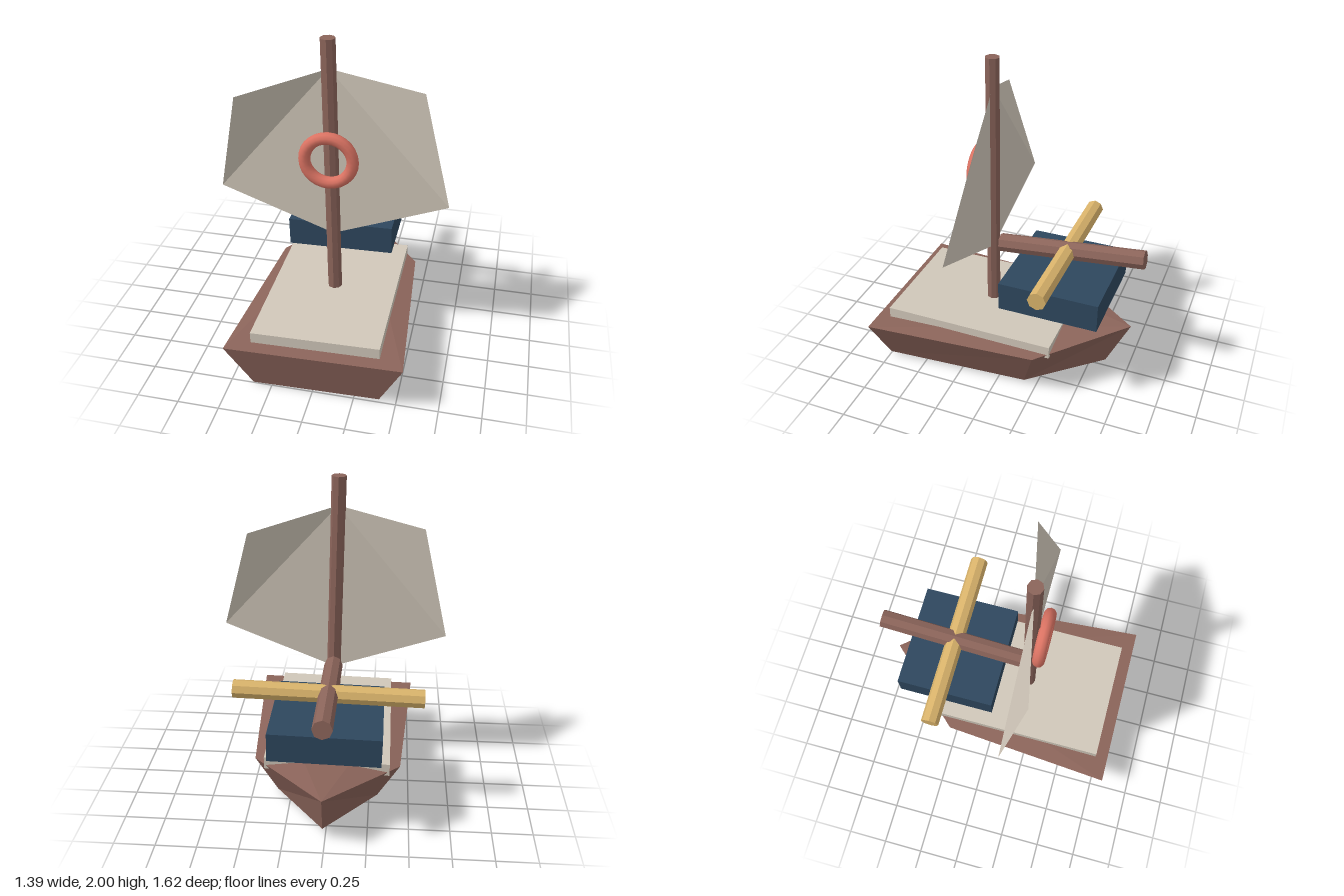
import * as THREE from 'three';

const material = (name, color, extra = {}) => {
  const m = new THREE.MeshStandardMaterial({ color, ...extra });
  m.name = name;
  return m;
};

export function createModel() {
  const wood = material('brown wood', 0x8b645a, { flatShading: true });
  const canvas = material('pale canvas', 0xd0c7b9, { flatShading: true, side: THREE.DoubleSide });
  const navy = material('navy blue', 0x2e475e);
  const brass = material('golden wood', 0xd8b26a, { flatShading: true });
  const coral = material('coral red', 0xdb7363);

  const model = new THREE.Group();
  model.name = 'sailboat';
  const add = (name, geometry, mat, x = 0, y = 0, z = 0) => {
    const mesh = new THREE.Mesh(geometry, mat);
    mesh.name = name;
    mesh.position.set(x, y, z);
    model.add(mesh);
    return mesh;
  };
  const faceted = (points, faces) => {
    let g = new THREE.BufferGeometry();
    g.setAttribute('position', new THREE.Float32BufferAttribute(points.flat(), 3));
    g.setIndex(faces.flat());
    g = g.toNonIndexed();
    g.computeVertexNormals();
    return g;
  };

  // Hull: square end, mid section and a pointed bow
  add('hull', faceted([
    [-0.383, 0.01, 0.745], [0.383, 0.01, 0.745], [-0.53, 0.3, 0.81], [0.53, 0.3, 0.81],
    [-0.32, 0.01, -0.17], [0.32, 0.01, -0.17], [-0.45, 0.305, -0.265], [0.45, 0.305, -0.265],
    [0, 0.065, -0.61], [0, 0.375, -0.755],
  ], [
    [0, 1, 3], [0, 3, 2], // square end
    [1, 5, 7], [1, 7, 3], [0, 6, 4], [0, 2, 6], // sides
    [5, 8, 9], [5, 9, 7], [4, 9, 8], [4, 6, 9], // bow
    [0, 4, 5], [0, 5, 1], [4, 8, 5], // bottom
    [2, 3, 9], [3, 7, 9], [2, 9, 6], // top
  ]), wood);

  // Deck slab and raised cabin block
  add('deck', new THREE.BoxGeometry(0.77, 0.08, 1.08), canvas, 0, 0.332, 0.19);
  add('cabin', new THREE.BoxGeometry(0.66, 0.18, 0.62), navy, 0, 0.626, -0.31);

  // Mast and crossed spars
  add('mast', new THREE.CylinderGeometry(0.044, 0.044, 1.65, 8), wood, 0, 1.174, 0.167);
  const boom = add('boom', new THREE.CylinderGeometry(0.058, 0.058, 0.92, 8), wood, 0, 0.837, -0.345);
  boom.rotation.x = -Math.PI / 2 + 0.1;
  const spar = add('crossSpar', new THREE.CylinderGeometry(0.056, 0.056, 1.126, 8), brass, 0, 0.832, -0.325);
  spar.rotation.z = Math.PI / 2;

  // Sail: two slightly twisted wings meeting at the mast
  add('sail', faceted([
    [0, 1.82, 0], [0, 0.755, 0],
    [0.525, 1.66, -0.11], [0.693, 1.015, 0.015],
    [-0.525, 1.66, 0.11], [-0.693, 1.015, -0.015],
  ], [[0, 3, 2], [0, 1, 3], [0, 4, 5], [0, 5, 1]]), canvas, 0, 0, 0.165);

  // Ring on the front of the mast
  add('ring', new THREE.TorusGeometry(0.142, 0.036, 10, 28), coral, 0, 1.29, 0.24);

  // Slight list of the whole boat
  model.rotation.z = 0.024;
  model.position.x = 0.018;
  const root = new THREE.Group();
  root.name = 'boat';
  root.add(model);
  return root;
}
